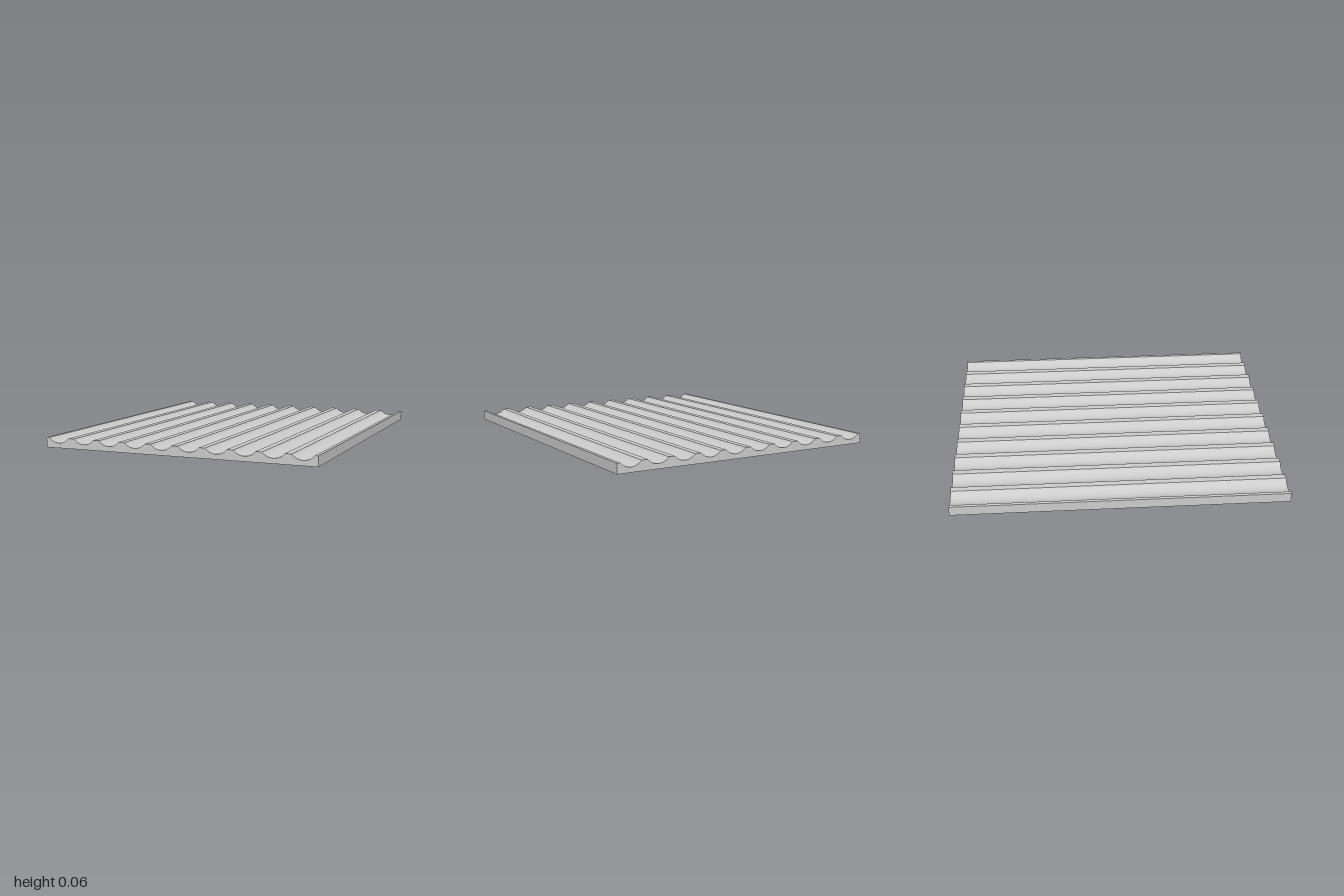
import * as THREE from 'three';
import { toCreasedNormals } from 'three/addons/utils/BufferGeometryUtils.js';

export function createModel() {
  const group = new THREE.Group();
  group.name = 'groovedPanel';

  const grooves = 10, pitch = 0.168, width = grooves * pitch;
  const length = 2, height = 0.06, depth = 0.03, halfGroove = 0.065;

  // Circular groove from its chord and depth
  const radius = (halfGroove ** 2 + depth ** 2) / (2 * depth);
  const angle = Math.asin(halfGroove / radius);
  const centreY = height - depth + radius;

  // Cross-section: flat base, scalloped top with narrow flat lands
  const profile = new THREE.Shape();
  profile.moveTo(-width / 2, 0);
  profile.lineTo(width / 2, 0);
  profile.lineTo(width / 2, height);
  for (let i = grooves - 1; i >= 0; i--) {
    const x = (i + 0.5) * pitch - width / 2;
    profile.lineTo(x + halfGroove, height);
    profile.absarc(x, centreY, radius, -Math.PI / 2 + angle, -Math.PI / 2 - angle, true);
  }
  profile.lineTo(-width / 2, height);
  profile.closePath();

  // Run the section front to back, smooth within each groove
  const extruded = new THREE.ExtrudeGeometry(profile, { depth: length, bevelEnabled: false, curveSegments: 20 });
  extruded.translate(0, 0, -length / 2);
  const panel = new THREE.Mesh(
    toCreasedNormals(extruded, Math.PI / 6),
    new THREE.MeshStandardMaterial({ color: 0xcccccc })
  );
  panel.name = 'flutedPanel';
  group.add(panel);
  return group;
}
